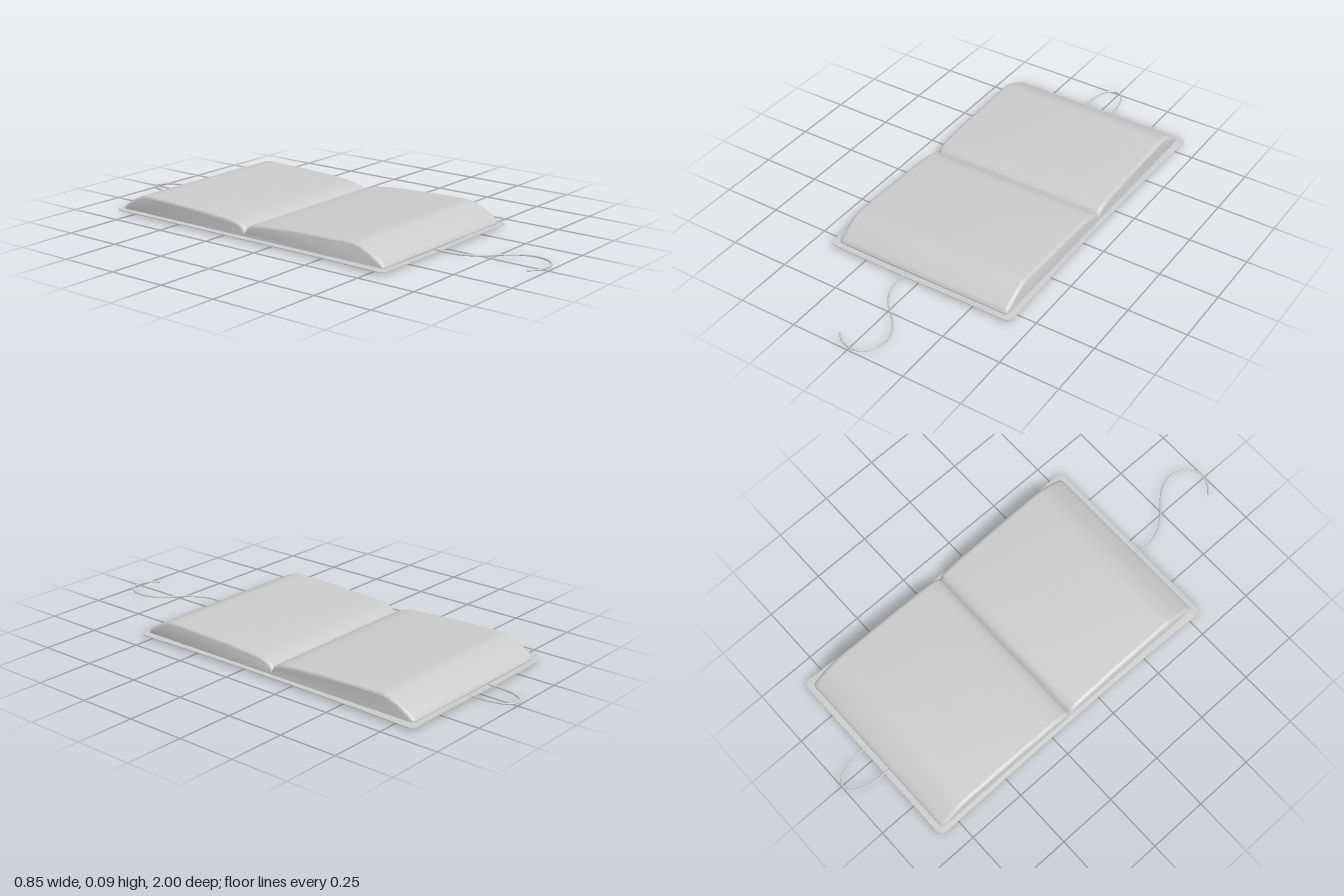
import * as THREE from 'three';
import { toCreasedNormals } from 'three/addons/utils/BufferGeometryUtils.js';

const SPINE = -0.14; // z of the fold between the two pages

function mesh(name, geometry, material) {
  const m = new THREE.Mesh(geometry, material);
  m.name = name;
  return m;
}

// Thin, softly warped cover with rounded corners and slightly wavy sides
function coverGeometry() {
  const half = 0.7, radius = 0.03;
  const g = new THREE.BoxGeometry(2, 2, 2, 32, 1, 64);
  const p = g.attributes.position;
  for (let i = 0; i < p.count; i++) {
    const u = p.getX(i), top = p.getY(i);
    // crowd the rows towards both ends so the corners stay round
    const v = Math.sin(p.getZ(i) * Math.PI / 2);
    const z = v * half;
    const side = 0.41 + (u < 0 ? 0.018 * Math.max(v, 0) ** 2 + 0.006 * Math.max(-v, 0) ** 2
      : 0.012 * v * v + 0.004 * Math.max(-v, 0));
    const over = Math.max(0, Math.abs(z) - (half - radius));
    const inset = radius - Math.sqrt(Math.max(0, radius * radius - over * over));
    const x = u * (side - inset);
    const edge = Math.max(Math.abs(u), Math.abs(v));
    const thick = 0.0055 - 0.004 * THREE.MathUtils.smoothstep(edge, 0.9, 1);
    const wave = 0.0018 * Math.sin(x * 9 + 2.5) * Math.cos(z * 4) + 0.002 * edge ** 4;
    p.setXYZ(i, x, 0.0085 + wave + top * thick, z + SPINE);
  }
  g.computeBoundingBox();
  g.translate(0, -g.boundingBox.min.y, 0);
  return toCreasedNormals(g, 0.7);
}

// Page block: the open-book profile swept across the width with rounded ends
function pagesGeometry() {
  const bevel = 0.018, width = 0.79, base = 0.01;
  // distance from the fold, height
  const half = [[0, 0.037], [0.006, 0.047], [0.02, 0.058], [0.05, 0.069], [0.1, 0.076],
    [0.2, 0.083], [0.35, 0.089], [0.47, 0.092], [0.53, 0.092], [0.56, 0.087],
    [0.6, 0.072], [0.64, 0.05], [0.665, 0.033], [0.675, 0.022], [0.677, 0.016]];
  const right = new THREE.SplineCurve(half.map(([d, y]) => new THREE.Vector2(d, y))).getPoints(56);
  const left = right.slice(1).reverse().map(q => new THREE.Vector2(-q.x, q.y));
  const outline = [new THREE.Vector2(-0.675, base), ...left, ...right, new THREE.Vector2(0.675, base)];
  const g = new THREE.ExtrudeGeometry(new THREE.Shape(outline.reverse()), {
    depth: width - 2 * bevel, bevelEnabled: true, bevelThickness: bevel,
    bevelSize: 0.012, bevelOffset: -0.012, bevelSegments: 5, steps: 1,
  });
  g.translate(0, 0, -width / 2 + bevel);
  g.rotateY(-Math.PI / 2); // profile runs along z, sweep along x
  g.translate(0, 0, SPINE);
  return toCreasedNormals(g, 0.7);
}

// Bookmark cord through flat [x, z] points
function cordGeometry(points) {
  const curve = new THREE.CatmullRomCurve3(points.map(([x, z]) => new THREE.Vector3(x, 0.011, z)));
  return new THREE.TubeGeometry(curve, 72, 0.0038, 8, false);
}

export function createModel() {
  const group = new THREE.Group();
  const grey = new THREE.MeshStandardMaterial({ color: 0xcccccc });
  const cord = new THREE.MeshStandardMaterial({ color: 0xcccccc, side: THREE.DoubleSide });

  group.add(mesh('cover', coverGeometry(), grey));
  group.add(mesh('pages', pagesGeometry(), grey));

  // Loop beyond the back edge
  group.add(mesh('cordLoop', cordGeometry([[-0.074, -0.8], [-0.074, -0.87], [-0.064, -0.935],
    [-0.042, -0.98], [-0.01, -0.996], [0.024, -0.98], [0.045, -0.935], [0.055, -0.87],
    [0.055, -0.8]]), cord));

  // Curling tail beyond the front edge
  group.add(mesh('cordTail', cordGeometry([[-0.06, 0.52], [-0.066, 0.6], [-0.055, 0.66],
    [-0.015, 0.725], [0.05, 0.79], [0.088, 0.845], [0.098, 0.9], [0.08, 0.955], [0.045, 0.988],
    [0.01, 0.995], [-0.035, 0.982], [-0.072, 0.95]]), cord));

  return group;
}
